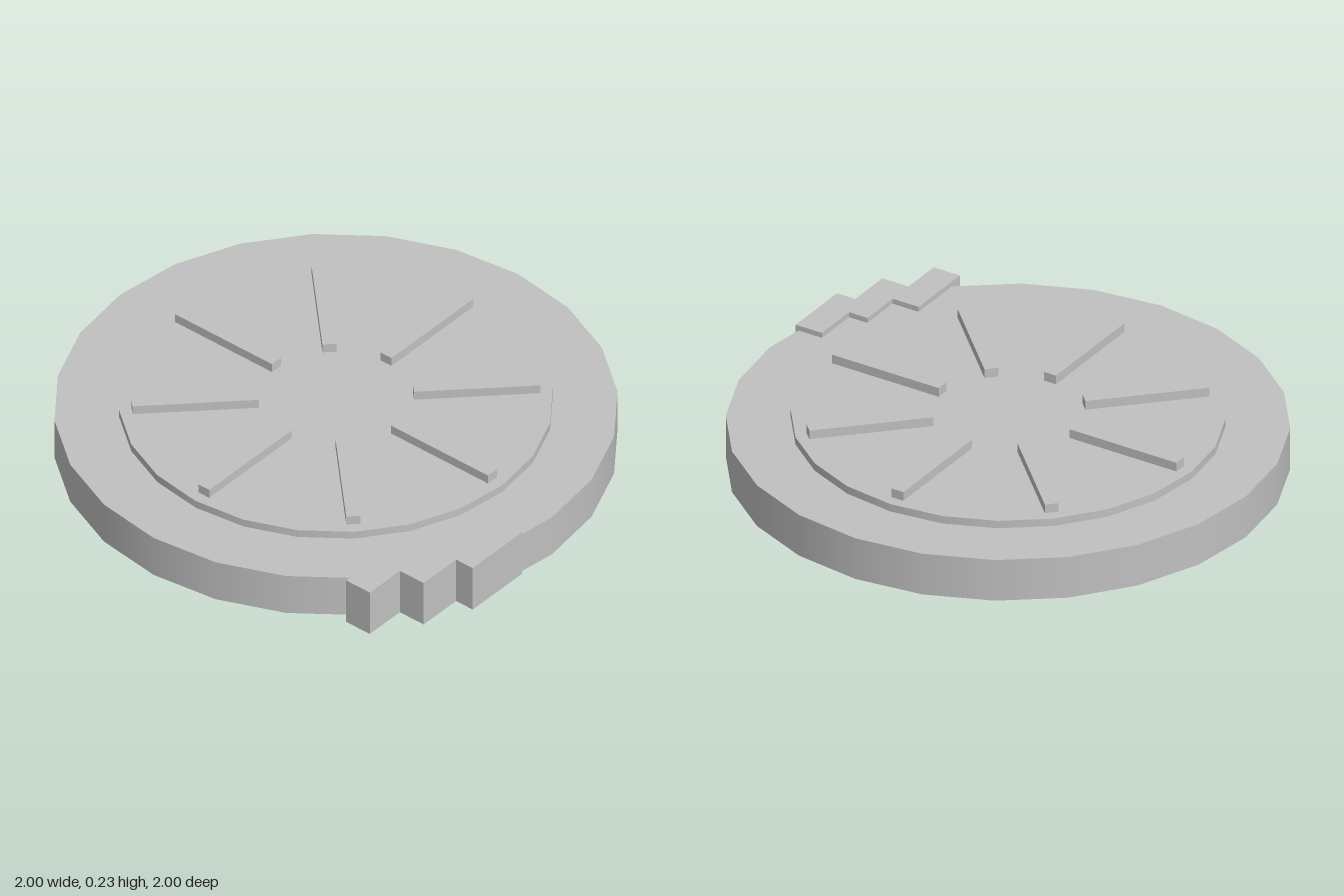
import * as THREE from 'three';

export function createModel() {
  const model = new THREE.Group();
  const grey = new THREE.MeshStandardMaterial({ color: 0xc0c0c0 });
  grey.name = 'grey';

  const add = (name, geometry, x, y, z, turn = 0) => {
    const mesh = new THREE.Mesh(geometry, grey);
    mesh.name = name;
    mesh.position.set(x, y, z);
    mesh.rotation.y = turn;
    model.add(mesh);
  };

  // Wide base disc with a thin raised plate on top
  const baseTop = 0.165, plateTop = 0.195, ribTop = 0.23;
  add('baseDisc', new THREE.CylinderGeometry(1, 1, baseTop, 24), 0, baseTop / 2, 0);
  add('raisedPlate', new THREE.CylinderGeometry(0.77, 0.77, plateTop - baseTop, 24),
    0, (baseTop + plateTop) / 2, 0);

  // Eight radial ribs
  const rib = new THREE.BoxGeometry(0.45, ribTop - plateTop, 0.05);
  for (let i = 0; i < 8; i++) {
    const a = (i * Math.PI) / 4;
    add(`rib${i + 1}`, rib, 0.5 * Math.cos(a), (plateTop + ribTop) / 2, -0.5 * Math.sin(a), a);
  }

  // Three stepped blocks along the front left rim
  const block = new THREE.BoxGeometry(0.11, 0.185, 0.27);
  [[0.937, 0.29], [0.86, 0.468], [0.75, 0.633]].forEach(([x, z], i) =>
    add(`rimBlock${i + 1}`, block, x, 0.0925, z));

  return model;
}
